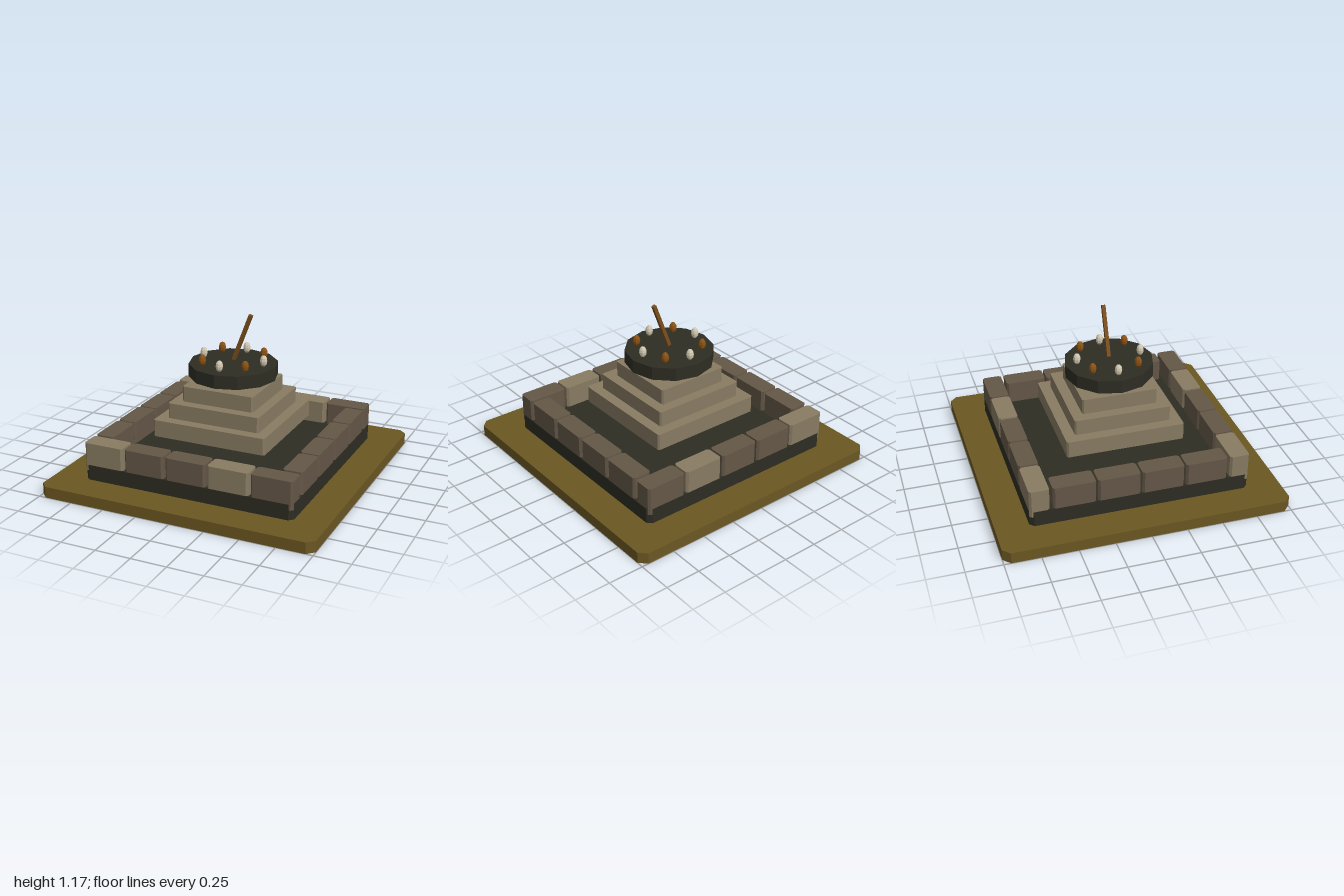
import * as THREE from 'three';

const mat = (name, color) => {
  const m = new THREE.MeshStandardMaterial({ color });
  m.name = name;
  return m;
};

export function createModel() {
  const model = new THREE.Group();
  model.name = 'sundialMonument';

  const ochre = mat('ochre ground', 0x6b5722);
  const slate = mat('dark slate', 0x2d2d23);
  const lightStone = mat('light stone', 0x887b62);
  const darkStone = mat('dark stone', 0x645747);
  const wood = mat('wood', 0x7a4f1f);
  const amber = mat('amber', 0x8a5214);
  const ivory = mat('ivory', 0xd2c8b0);

  const add = (name, geometry, material, x = 0, y = 0, z = 0) => {
    const mesh = new THREE.Mesh(geometry, material);
    mesh.name = name;
    mesh.position.set(x, y, z);
    model.add(mesh);
    return mesh;
  };

  // Slab with chamfered vertical corners, standing on y = 0
  const slab = (w, d, h, c) => {
    const a = w / 2, b = d / 2;
    const shape = new THREE.Shape([
      [-a + c, -b], [a - c, -b], [a, -b + c], [a, b - c],
      [a - c, b], [-a + c, b], [-a, b - c], [-a, -b + c],
    ].map(([x, y]) => new THREE.Vector2(x, y)));
    return new THREE.ExtrudeGeometry(shape, { depth: h, bevelEnabled: false }).rotateX(-Math.PI / 2);
  };

  // Ground plate and terrace
  add('groundPlate', slab(2, 2, 0.08, 0.05), ochre);
  add('terrace', slab(1.541, 1.541, 0.11, 0.03), slate, 0, 0.08, 0);

  // Ring of wall blocks: five along front and back, four along each side
  const longBlock = slab(0.295, 0.138, 0.2, 0.015);
  const sideBlock = slab(0.138, 0.295, 0.2, 0.015);
  for (const s of [-1, 1]) {
    for (let i = 0; i < 5; i++) {
      add('wallBlock', longBlock, i % 3 === 0 ? lightStone : darkStone, (i - 2) * 0.31, 0.15, s * 0.7);
    }
    for (let i = 0; i < 4; i++) {
      add('sideWallBlock', sideBlock, darkStone, s * 0.7, 0.15, (i - 1.5) * 0.308);
    }
  }

  // Stepped pedestal
  [[0.84, 0.33, 0.12], [0.686, 0.45, 0.11], [0.536, 0.56, 0.11]].forEach(([w, y, h]) =>
    add('pedestalStep', slab(w, w, h, 0.012), lightStone, 0, y, 0));

  // Twelve-sided dial
  add('dial', new THREE.CylinderGeometry(0.315, 0.315, 0.095, 12).toNonIndexed(), slate, 0, 0.757, 0)
    .geometry.computeVertexNormals();

  // Hour markers, alternating ivory and amber
  const bead = new THREE.SphereGeometry(1, 8, 6).scale(0.027, 0.041, 0.027).toNonIndexed();
  bead.computeVertexNormals();
  for (let i = 0; i < 8; i++) {
    const a = i * Math.PI / 4;
    add('hourMarker', bead, i % 2 ? amber : ivory, Math.cos(a) * 0.23, 0.845, Math.sin(a) * 0.23);
  }

  // Leaning pointer
  add('pointer', new THREE.BoxGeometry(0.026, 0.36, 0.026), wood, 0.068, 0.994, 0).rotation.z = -0.367;

  return model;
}
